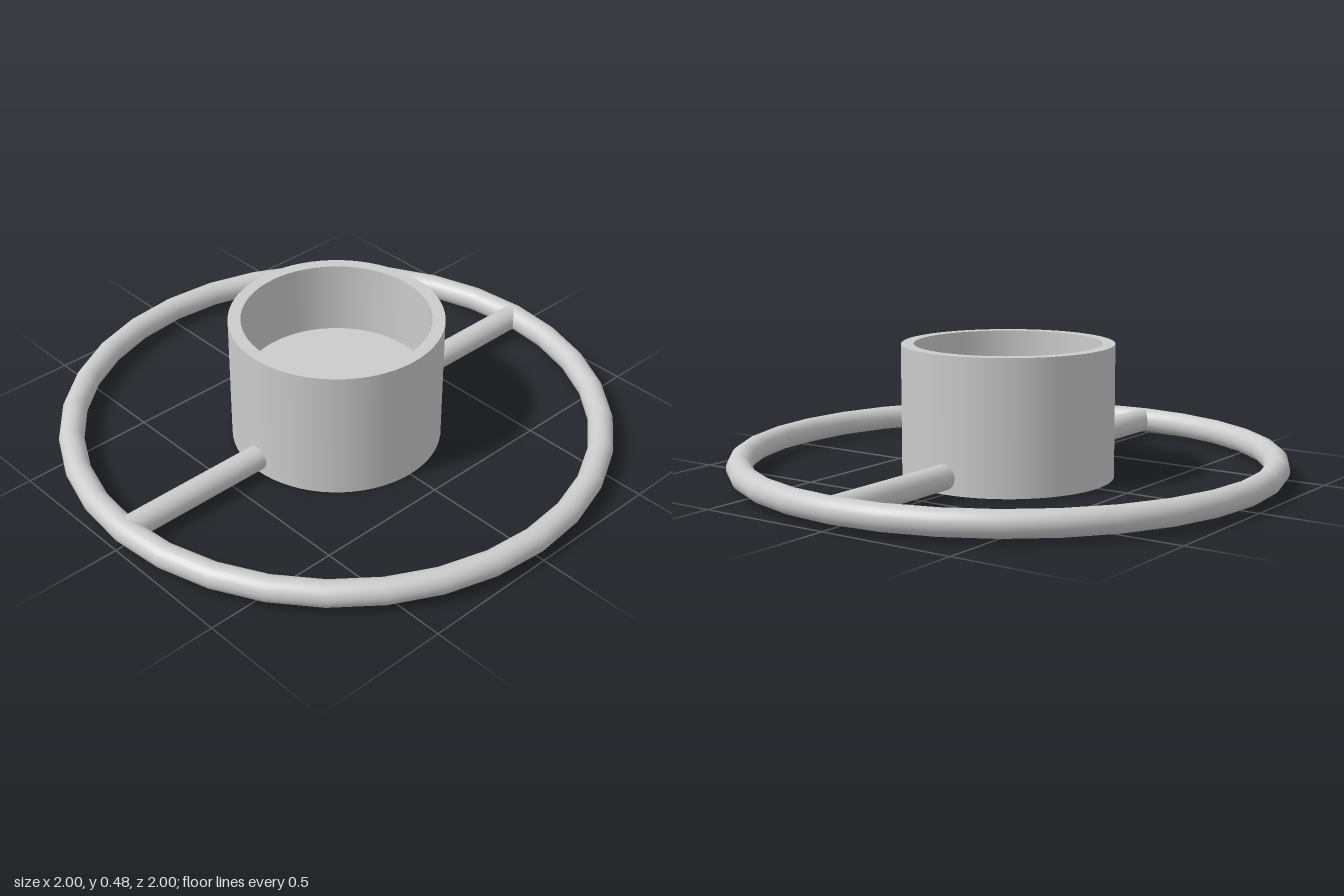
import * as THREE from 'three';

const material = new THREE.MeshStandardMaterial({ color: 0xcccccc });
const TUBE = 0.045, RING = 0.955, RING_Y = 0.06;
const CUP_R = 0.38, BORE_R = 0.335, CUP_H = 0.48, FLOOR_Y = 0.21;

function add(group, name, geometry) {
  const mesh = new THREE.Mesh(geometry, material);
  mesh.name = name;
  group.add(mesh);
  return mesh;
}

// Lathed surface from one straight profile line, so its edges stay sharp
function band(r0, y0, r1, y1) {
  return new THREE.LatheGeometry([new THREE.Vector2(r0, y0), new THREE.Vector2(r1, y1)], 64);
}

export function createModel() {
  const model = new THREE.Group();
  model.name = 'ringedCup';

  // Cup: closed base, thick wall and a raised inner floor
  const cup = new THREE.Group();
  cup.name = 'cup';
  model.add(cup);
  add(cup, 'cupBase', band(0, 0, CUP_R, 0));
  add(cup, 'cupOuterWall', band(CUP_R, 0, CUP_R, CUP_H));
  add(cup, 'cupRim', band(CUP_R, CUP_H, BORE_R, CUP_H));
  add(cup, 'cupInnerWall', band(BORE_R, CUP_H, BORE_R, FLOOR_Y));
  add(cup, 'cupFloor', band(BORE_R, FLOOR_Y, 0, FLOOR_Y));

  // Outer ring, lying flat around the cup
  const ring = add(model, 'outerRing', new THREE.TorusGeometry(RING, TUBE, 24, 32));
  ring.rotation.x = Math.PI / 2;
  ring.position.y = RING_Y;

  // Front and back spokes, from inside the cup wall to the ring's centre line
  const inner = CUP_R - 0.04;
  for (const [name, side] of [['frontSpoke', 1], ['backSpoke', -1]]) {
    const spoke = add(model, name, new THREE.CylinderGeometry(TUBE, TUBE, RING - inner, 24));
    spoke.rotation.x = Math.PI / 2;
    spoke.position.set(0, RING_Y, side * (RING + inner) / 2);
  }
  return model;
}
